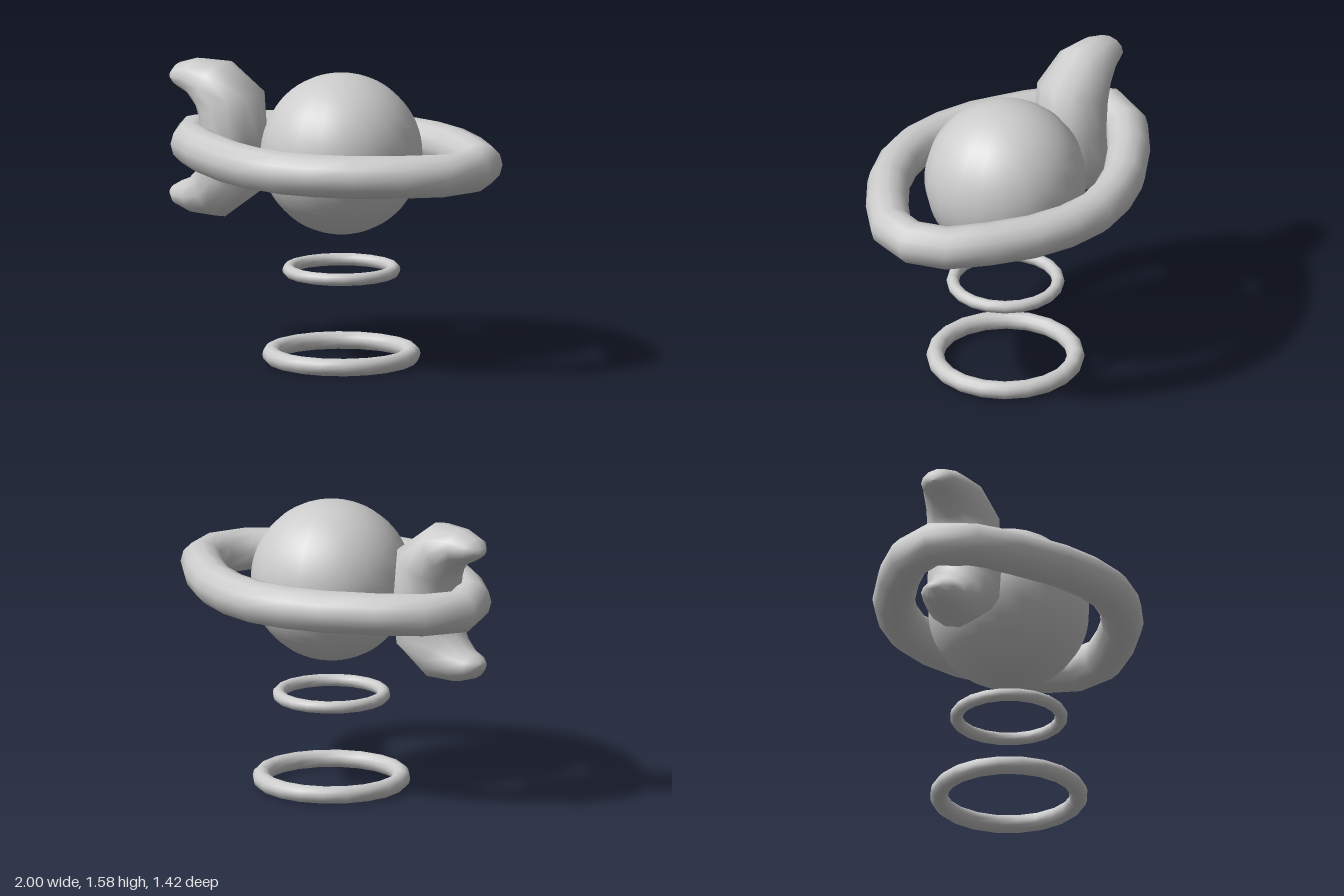
import * as THREE from 'three';

const material = new THREE.MeshStandardMaterial({ color: 0xcccccc });

function addMesh(group, name, geometry, x = 0, y = 0, z = 0) {
  const mesh = new THREE.Mesh(geometry, material);
  mesh.name = name;
  mesh.position.set(x, y, z);
  group.add(mesh);
  return mesh;
}

// Sweeps an ellipse along a flat path; each section is [position, in-plane radius, radius along v].
function loft(sections, v, closed, sides = 12) {
  const n = sections.length, positions = [], indices = [];
  const at = i => sections[closed ? (i + n) % n : Math.min(n - 1, Math.max(0, i))][0];
  sections.forEach(([p, a, b], i) => {
    const tangent = at(i + 1).clone().sub(at(i - 1)).normalize();
    const u = v.clone().cross(tangent).normalize();
    for (let j = 0; j < sides; j++) {
      const angle = (j / sides) * Math.PI * 2;
      const q = p.clone().addScaledVector(u, a * Math.cos(angle)).addScaledVector(v, b * Math.sin(angle));
      positions.push(q.x, q.y, q.z);
    }
  });
  for (let i = 0; i < (closed ? n : n - 1); i++) {
    for (let j = 0; j < sides; j++) {
      const k = (j + 1) % sides, next = ((i + 1) % n) * sides;
      const p = i * sides + j, q = i * sides + k, r = next + j, s = next + k;
      indices.push(p, q, r, q, s, r);
    }
  }
  const geometry = new THREE.BufferGeometry();
  geometry.setAttribute('position', new THREE.Float32BufferAttribute(positions, 3));
  geometry.setIndex(indices);
  geometry.computeVertexNormals();
  return geometry;
}

export function createModel() {
  const group = new THREE.Group();

  // Central ball
  addMesh(group, 'ball', new THREE.SphereGeometry(0.435, 20, 32), 0.05, 1.145, 0);

  // Eye-shaped ring around the ball: one half, then its mirror in z
  const half = [
    [0.885, 0], [0.825, 0.185], [0.655, 0.34], [0.455, 0.48], [0.255, 0.562], [0.05, 0.595],
    [-0.15, 0.565], [-0.345, 0.495], [-0.6, 0.34], [-0.785, 0.19], [-0.885, 0],
  ];
  const outline = [...half, ...half.slice(1, -1).reverse().map(([x, z]) => [x, -z])];
  const ringSections = outline.map(([x, z]) => [new THREE.Vector3(x, 0, z), 0.115, 0.117]);
  addMesh(group, 'eyeRing', loft(ringSections, new THREE.Vector3(0, 1, 0), true), 0, 1.138, 0);

  // Crescent at the pointed end: [x, height above middle, in-plane radius, depth radius]
  const arm = [
    [-0.992, 0.305, 0, 0], [-0.985, 0.31, 0.032, 0.05], [-0.945, 0.322, 0.065, 0.095],
    [-0.855, 0.325, 0.098, 0.125], [-0.735, 0.295, 0.15, 0.165], [-0.62, 0.195, 0.185, 0.2],
  ];
  const lower = arm.map(([x, y, a, b]) => [x, -y, a, b]).reverse();
  const crescentSections = [...arm, [-0.6, 0, 0.165, 0.207], ...lower]
    .map(([x, y, a, b]) => [new THREE.Vector3(x, y, 0), a, b]);
  addMesh(group, 'crescent', loft(crescentSections, new THREE.Vector3(0, 0, 1), false), 0, 1.157, 0.052);

  // Two floating rings below: [name, outer radius, tube radius, height]
  for (const [name, outer, tube, y] of [
    ['upperRing', 0.317, 0.034, 0.51],
    ['lowerRing', 0.425, 0.048, 0.049],
  ]) {
    const torus = new THREE.TorusGeometry(outer - tube, tube, 12, 20).rotateX(Math.PI / 2);
    addMesh(group, name, torus, 0.05, y, 0);
  }

  return group;
}
